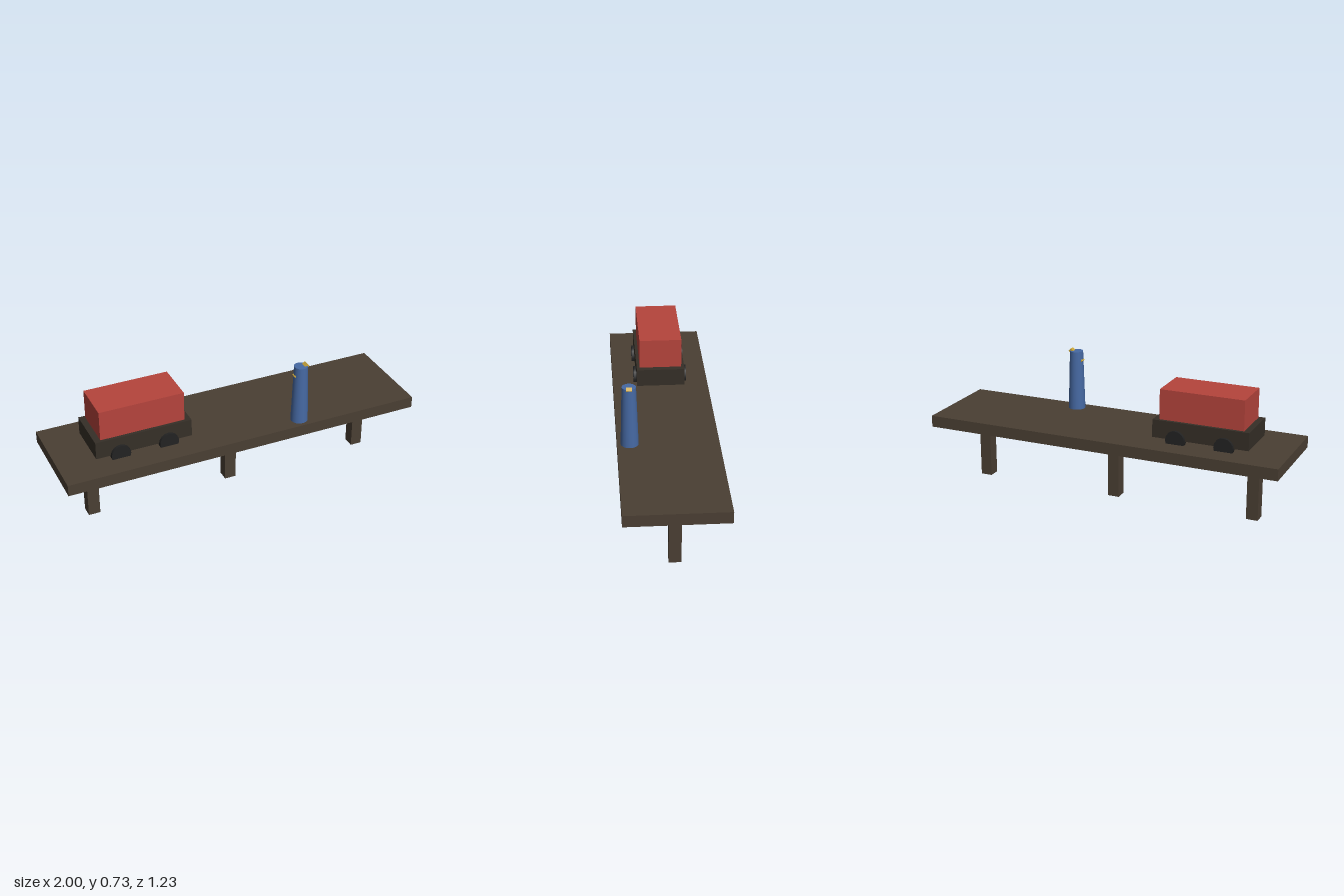
import * as THREE from 'three';

const paint = (color) => new THREE.MeshStandardMaterial({ color });

export function createModel() {
  const model = new THREE.Group();
  model.name = 'loadingPlatform';

  const wood = paint(0x4a3f33);
  const iron = paint(0x352f27);
  const rubber = paint(0x222222);
  const red = paint(0xb5443c);
  const blue = paint(0x4669a3);
  const yellow = paint(0xc9a53a);

  function add(parent, name, geometry, material, x, y, z) {
    const mesh = new THREE.Mesh(geometry, material);
    mesh.name = name;
    mesh.position.set(x, y, z);
    parent.add(mesh);
    return mesh;
  }

  // Deck on a row of posts
  add(model, 'deck', new THREE.BoxGeometry(1.95, 0.062, 0.52), wood, 0, 0.36, 0);
  for (const x of [-0.78, 0, 0.78]) {
    add(model, 'post', new THREE.BoxGeometry(0.063, 0.33, 0.063), wood, x, 0.165, 0);
  }

  // Wagon: chassis, load and four wheels sunk slightly into the deck
  const wagon = new THREE.Group();
  wagon.name = 'wagon';
  wagon.position.set(-0.522, 0, 0);
  model.add(wagon);
  add(wagon, 'chassis', new THREE.BoxGeometry(0.518, 0.095, 0.26), iron, 0, 0.4575, 0);
  add(wagon, 'load', new THREE.BoxGeometry(0.453, 0.161, 0.227), red, 0, 0.585, 0);
  const wheel = new THREE.CylinderGeometry(0.052, 0.052, 0.03, 16).rotateX(Math.PI / 2);
  for (const x of [-0.13, 0.13]) {
    for (const z of [-0.13, 0.13]) add(wagon, 'wheel', wheel, rubber, x, 0.41, z);
  }

  // Tapered pillar with a tilted bar through its top
  const signal = new THREE.Group();
  signal.name = 'signal';
  signal.position.set(0.321, 0, 0.196);
  model.add(signal);
  add(signal, 'pillar', new THREE.CylinderGeometry(0.036, 0.046, 0.325, 16), blue, 0, 0.5525, 0);
  const bar = add(signal, 'tiltedBar', new THREE.BoxGeometry(0.094, 0.02, 0.03), yellow, 0, 0.689, 0);
  bar.rotation.z = 0.73;

  // The whole platform stands turned about the vertical
  model.rotation.y = Math.PI / 8;
  return model;
}
